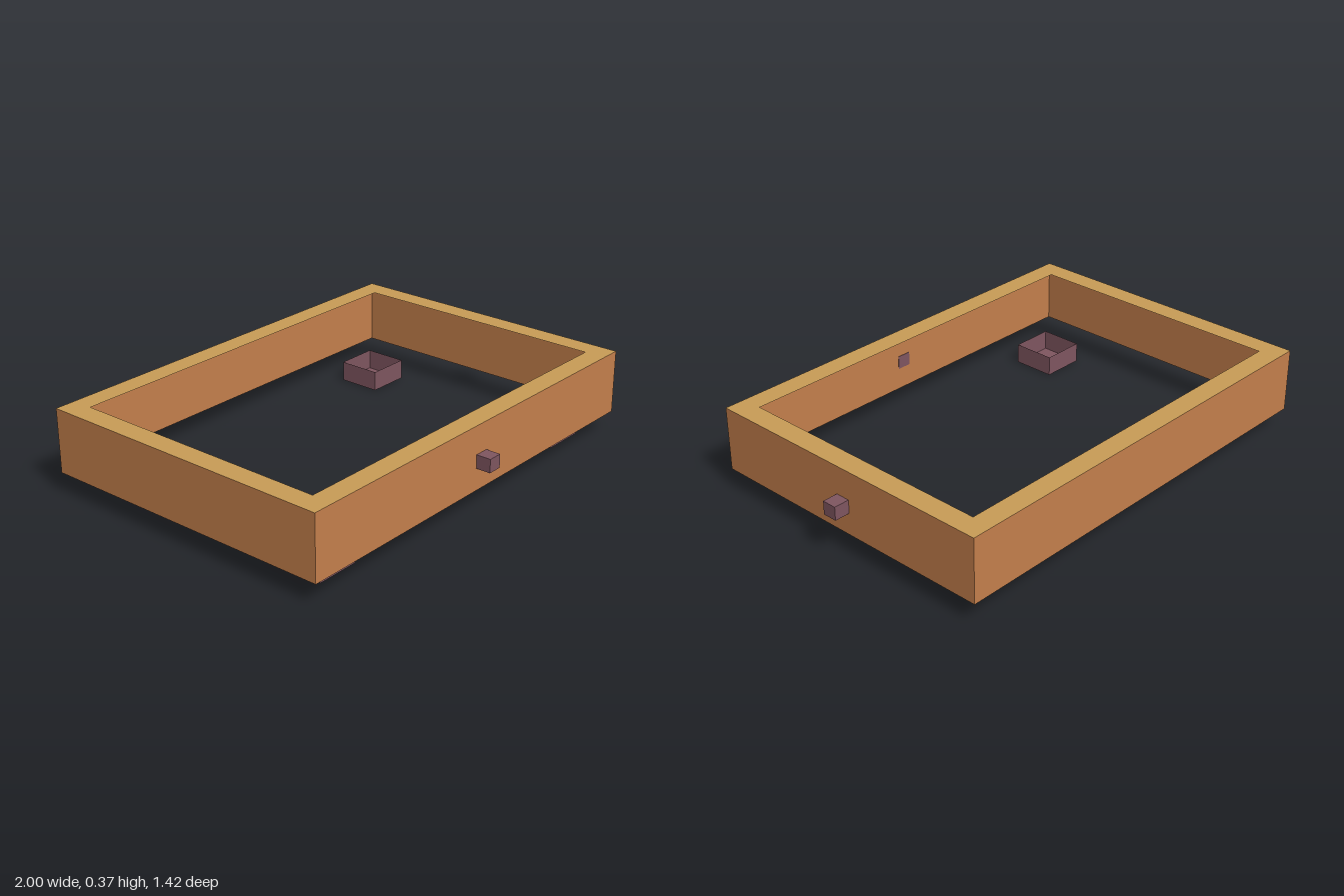
import * as THREE from 'three';

const flat = (name, color) =>
  new THREE.MeshStandardMaterial({ name, color, side: THREE.DoubleSide });

// Box between two corners, keeping only the listed faces (0..5 = +x -x +y -y +z -z)
function boxFaces(min, max, faces = [0, 1, 2, 3, 4, 5]) {
  const size = max.map((v, i) => v - min[i]);
  const geo = new THREE.BoxGeometry(...size);
  const all = Array.from(geo.index.array);
  geo.setIndex(faces.flatMap((f) => all.slice(f * 6, f * 6 + 6)));
  geo.clearGroups();
  geo.translate(...max.map((v, i) => (v + min[i]) / 2));
  return geo;
}

export function createModel() {
  const wood = flat('orange wood', 0xc5804c);
  const rimWood = flat('golden wood', 0xc99d56);
  const plum = flat('plum', 0x7f5660);

  const model = new THREE.Group();
  model.name = 'frame';
  const add = (name, geo, mat) => {
    const mesh = new THREE.Mesh(geo, mat);
    mesh.name = name;
    model.add(mesh);
  };

  const [x0, x1, z0, z1] = [-1, 0.932, -0.71, 0.645];
  const [bottom, top, rim] = [0.09, 0.37, 0.094];

  // Four thin outer walls, open above and below
  add('walls', boxFaces([x0, bottom, z0], [x1, top, z1], [0, 1, 4, 5]), wood);

  // Flat rim round the top, with a rectangular opening
  const rect = (S, inset) => new S([
    new THREE.Vector2(x0 + inset, -z1 + inset),
    new THREE.Vector2(x1 - inset, -z1 + inset),
    new THREE.Vector2(x1 - inset, -z0 - inset),
    new THREE.Vector2(x0 + inset, -z0 - inset),
  ]);
  const rimShape = rect(THREE.Shape, 0);
  rimShape.holes.push(rect(THREE.Path, rim));
  const rimGeo = new THREE.ShapeGeometry(rimShape);
  rimGeo.rotateX(-Math.PI / 2).translate(0, top, 0);
  add('topRim', rimGeo, rimWood);

  // Four feet, hollow and open at the top
  const foot = 0.194;
  for (const x of [-0.87, 0.608])
    for (const z of [-0.614, 0.355])
      add('foot', boxFaces([x, 0, z], [x + foot, bottom, z + foot], [0, 1, 3, 4, 5]), plum);

  // Small square knobs; the front one shows through the wall
  const [k0, k1] = [0.187, 0.246];
  add('frontKnob', boxFaces([-0.066, k0, z1 - 0.002], [-0.002, k1, 0.71]), plum);
  add('leftKnob', boxFaces([x1, k0, -0.064], [1, k1, 0], [0, 2, 3, 4, 5]), plum);

  return model;
}
